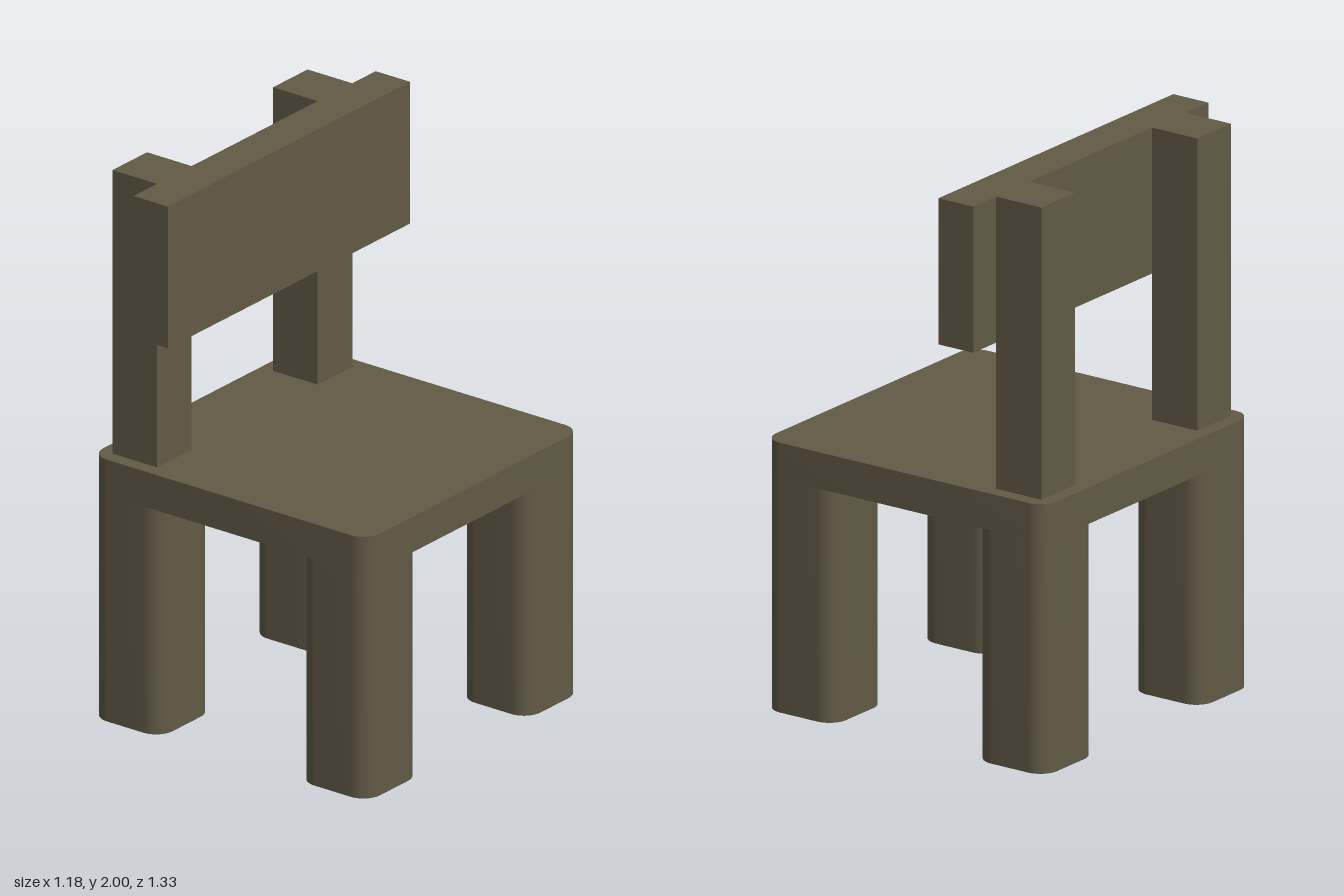
import * as THREE from 'three';
import { toCreasedNormals } from 'three/addons/utils/BufferGeometryUtils.js';

// Upright block with a square plan and rounded vertical edges
function roundedBlock(size, height, radius) {
  const h = size / 2, c = h - radius;
  const shape = new THREE.Shape();
  shape.absarc(c, c, radius, 0, Math.PI / 2);
  shape.absarc(-c, c, radius, Math.PI / 2, Math.PI);
  shape.absarc(-c, -c, radius, Math.PI, Math.PI * 1.5);
  shape.absarc(c, -c, radius, Math.PI * 1.5, Math.PI * 2);
  shape.closePath();
  const geometry = new THREE.ExtrudeGeometry(shape, { depth: height, bevelEnabled: false, curveSegments: 10 });
  geometry.rotateX(-Math.PI / 2);
  return toCreasedNormals(geometry, Math.PI / 6);
}

export function createModel() {
  const chair = new THREE.Group();
  chair.name = 'chair';
  const wood = new THREE.MeshStandardMaterial({ color: 0x625a46 });
  wood.name = 'dark olive wood';

  function add(name, geometry, x, y, z) {
    const mesh = new THREE.Mesh(geometry, wood);
    mesh.name = name;
    mesh.position.set(x, y, z);
    chair.add(mesh);
  }

  // Seat slab
  add('seat', roundedBlock(1.176, 0.13, 0.07), 0, 0.83, 0);

  // Four legs flush with the seat corners
  const legGeometry = roundedBlock(0.294, 0.83, 0.07);
  for (const x of [-1, 1]) {
    for (const z of [-1, 1]) {
      add(`${x > 0 ? 'left' : 'right'}${z > 0 ? 'Front' : 'Back'}Leg`, legGeometry, x * 0.441, 0, z * 0.441);
    }
  }

  // Two posts and the wide backrest board in front of them
  const postGeometry = new THREE.BoxGeometry(0.19, 1.04, 0.19);
  for (const z of [-1, 1]) {
    add(z > 0 ? 'frontBackrestPost' : 'rearBackrestPost', postGeometry, -0.441, 1.48, z * 0.441);
  }
  add('backrestBoard', new THREE.BoxGeometry(0.146, 0.52, 1.33), -0.273, 1.74, 0);

  return chair;
}
